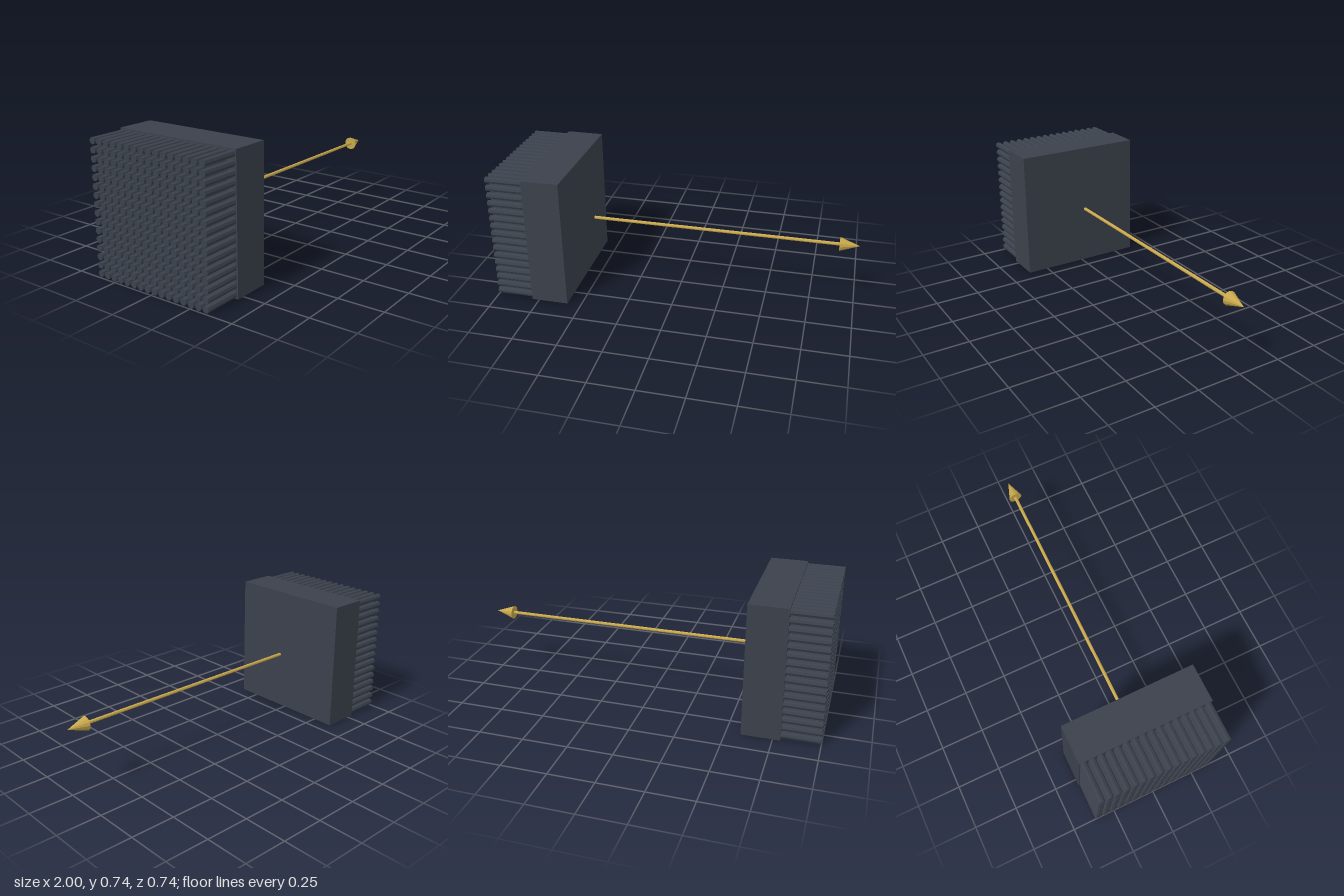
import * as THREE from 'three';
import { mergeGeometries } from 'three/addons/utils/BufferGeometryUtils.js';

const SIZE = 0.742;
const MID = SIZE / 2;
const PINS = 16;

const slate = new THREE.MeshStandardMaterial({ color: 0x3b414c, flatShading: true });
slate.name = 'slate';
const gold = new THREE.MeshStandardMaterial({ color: 0xc9a84c, flatShading: true });
gold.name = 'gold';

// Cylinder or cone lying along x, from x0 to x1
function rod(x0, x1, r0, r1, sides) {
  const g = new THREE.CylinderGeometry(r1, r0, x1 - x0, sides);
  g.rotateZ(-Math.PI / 2);
  return g.translate((x0 + x1) / 2, MID, 0);
}

export function createModel() {
  const group = new THREE.Group();
  const add = (name, geometry, material) => {
    const mesh = new THREE.Mesh(geometry, material);
    mesh.name = name;
    group.add(mesh);
  };

  // Solid square block
  const block = new THREE.BoxGeometry(0.21, SIZE, SIZE);
  add('block', block.translate(-0.685, MID, 0), slate);

  // Square grid of pins behind the block
  const pitch = SIZE / PINS;
  const pin = rod(-1, -0.785, pitch * 0.4, pitch * 0.4, 8);
  const pins = [];
  for (let i = 0; i < PINS; i++) {
    for (let j = 0; j < PINS; j++) {
      const y = (i + 0.5) * pitch - MID;
      const z = (j + 0.5) * pitch - MID;
      pins.push(pin.clone().translate(0, y, z));
    }
  }
  add('pins', mergeGeometries(pins), slate);

  // Arrow pointing away from the block
  add('arrowShaft', rod(-0.52, 0.89, 0.0095, 0.0095, 8), gold);
  add('arrowHead', rod(0.89, 1, 0.039, 0, 12), gold);

  return group;
}
